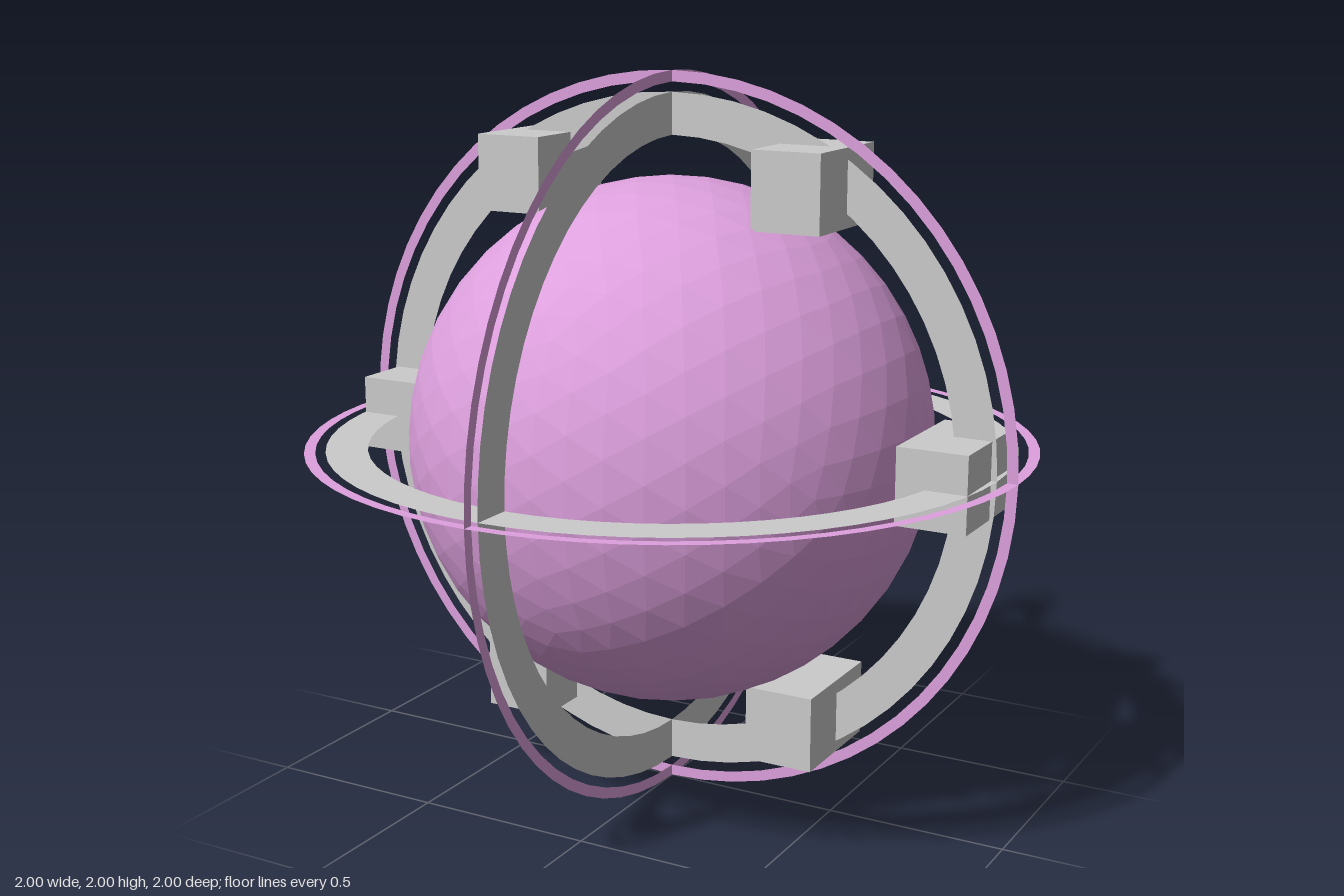
import * as THREE from 'three';

export function createModel() {
  const model = new THREE.Group();
  const purple = new THREE.MeshStandardMaterial({ color: 0xdda0dd, flatShading: true });
  const purpleBand = new THREE.MeshStandardMaterial({ color: 0xdda0dd, side: THREE.DoubleSide });
  const grey = new THREE.MeshStandardMaterial({ color: 0xcccccc, flatShading: true });
  const greyBand = new THREE.MeshStandardMaterial({ color: 0xcccccc, side: THREE.DoubleSide });

  const add = (name, geometry, material, parent = model) => {
    const mesh = new THREE.Mesh(geometry, material);
    mesh.name = name;
    parent.add(mesh);
    return mesh;
  };

  // Faceted core
  add('coreSphere', new THREE.IcosahedronGeometry(0.72, 7), purple).position.y = 1;

  // Three flat ring pairs, one in each main plane
  const wide = new THREE.RingGeometry(0.83, 0.943, 64);
  const thin = new THREE.RingGeometry(0.97, 1, 64);
  const planes = [
    ['frontRings', 0, 0],
    ['sideRings', 0, Math.PI / 2],
    ['equatorRings', -Math.PI / 2, 0],
  ];
  for (const [name, rx, ry] of planes) {
    const pair = new THREE.Group();
    pair.name = name;
    pair.position.y = 1;
    pair.rotation.set(rx, ry, 0);
    add('wideRing', wide, greyBand, pair);
    add('thinOuterRing', thin, purpleBand, pair);
    model.add(pair);
  }

  // Six upright blocks spaced around the front ring
  const block = new THREE.BoxGeometry(0.193, 0.207, 0.327);
  for (let i = 0; i < 6; i++) {
    const a = (i * Math.PI) / 3;
    add('ringBlock', block, grey).position.set(0.83 * Math.cos(a), 1 + 0.83 * Math.sin(a), 0);
  }
  return model;
}
